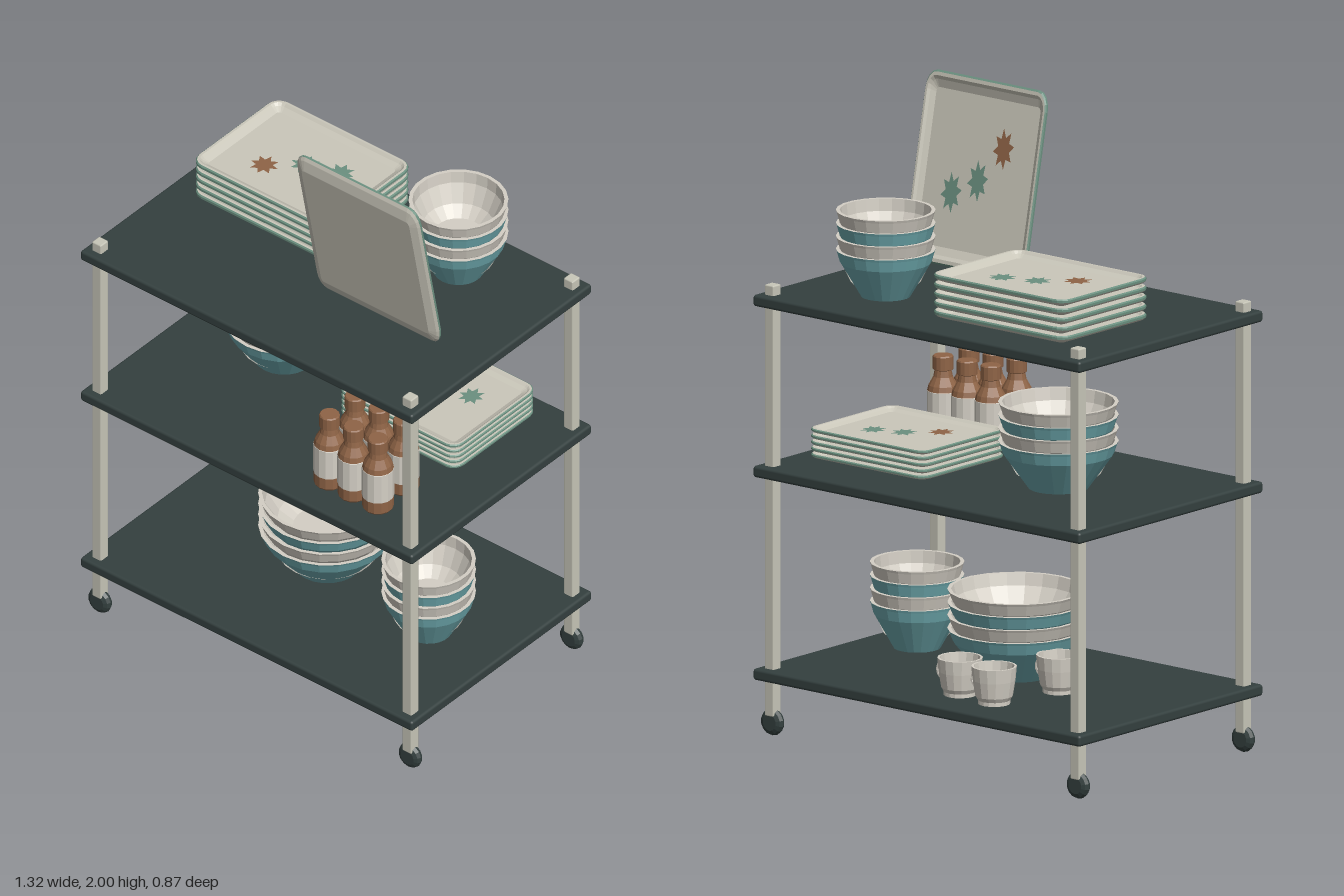
import * as THREE from 'three';
import { RoundedBoxGeometry } from 'three/addons/geometries/RoundedBoxGeometry.js';

const mat = (name, color) => Object.assign(new THREE.MeshStandardMaterial({ color }), { name });

// Faceted copy of a geometry
function flat(geo) {
  const g = geo.index ? geo.toNonIndexed() : geo;
  g.deleteAttribute('normal');
  g.computeVertexNormals();
  return g;
}

function add(parent, name, geo, material, x = 0, y = 0, z = 0) {
  const m = new THREE.Mesh(geo, material);
  m.name = name;
  m.position.set(x, y, z);
  parent.add(m);
  return m;
}

function group(parent, name, x, y, z) {
  const g = new THREE.Group();
  g.name = name;
  g.position.set(x, y, z);
  parent.add(g);
  return g;
}

const lathe = (pts, segments) =>
  flat(new THREE.LatheGeometry(pts.map(([x, y]) => new THREE.Vector2(x, y)), segments));

// Rounded rectangle rings [inset, height] joined into a skin, with optional caps
function loft(w, d, radius, sections, capStart, capEnd) {
  const steps = 4, n = 4 * (steps + 1), pos = [], idx = [];
  for (const [inset, y] of sections) {
    const r = Math.max(radius - inset, 0.012);
    for (let c = 0; c < 4; c++) {
      const sx = c === 0 || c === 3 ? 1 : -1, sz = c < 2 ? 1 : -1;
      for (let k = 0; k <= steps; k++) {
        const a = (c + k / steps) * Math.PI / 2;
        pos.push(sx * (w - inset - r) + r * Math.cos(a), y, sz * (d - inset - r) + r * Math.sin(a));
      }
    }
  }
  for (let s = 0; s < sections.length - 1; s++) {
    for (let i = 0; i < n; i++) {
      const j = (i + 1) % n, a = s * n + i, b = a + n, c = s * n + n + j, e = s * n + j;
      idx.push(a, b, c, a, c, e);
    }
  }
  const last = (sections.length - 1) * n;
  for (let i = 1; i < n - 1; i++) {
    if (capStart) idx.push(0, i, i + 1);
    if (capEnd) idx.push(last, last + i + 1, last + i);
  }
  const g = new THREE.BufferGeometry();
  g.setAttribute('position', new THREE.Float32BufferAttribute(pos, 3));
  g.setIndex(idx);
  return flat(g);
}

function starGeometry() {
  const s = new THREE.Shape(), points = 8;
  for (let i = 0; i < points * 2; i++) {
    const r = i % 2 ? 0.026 : 0.046, a = i * Math.PI / points + 0.2;
    s[i ? 'lineTo' : 'moveTo'](r * Math.cos(a), r * Math.sin(a));
  }
  return new THREE.ShapeGeometry(s).rotateX(-Math.PI / 2);
}

export function createModel() {
  const root = new THREE.Group();
  root.name = 'servingCart';
  const dark = mat('dark shelf', 0x34403f);
  const metal = mat('pale post', 0xc8c7b9);
  const cream = mat('cream ceramic', 0xd4cfc5);
  const trayCream = mat('tray enamel', 0xcac7ba);
  const teal = mat('teal glaze', 0x6fabb0);
  const brown = mat('brown', 0x8f6446);
  const green = mat('sage green', 0x6b9080);

  // Shelves
  const shelfGeo = new RoundedBoxGeometry(1.316, 0.036, 0.866, 2, 0.009);
  [0.194, 0.833, 1.372].forEach((y) => add(root, 'shelf', shelfGeo, dark, 0, y, 0));

  // Posts and wheels
  const postGeo = new RoundedBoxGeometry(0.037, 1.36, 0.037, 1, 0.005);
  const wheelGeo = lathe([[0, -0.017], [0.026, -0.017], [0.038, -0.011], [0.043, 0],
    [0.038, 0.011], [0.026, 0.017], [0, 0.017]], 14).rotateX(Math.PI / 2);
  for (const x of [-0.615, 0.615]) {
    for (const z of [-0.388, 0.388]) {
      add(root, 'post', postGeo, metal, x, 0.742, z);
      add(root, 'wheel', wheelGeo, dark, x, 0.043, z);
    }
  }

  // Trays
  const W = 0.272, D = 0.21, R = 0.045;
  const trayUnder = loft(W, D, R, [[0.034, 0], [0.008, 0.01], [0, 0.017]], true, false);
  const trayRim = loft(W, D, R, [[0, 0.017], [0, 0.024], [0.004, 0.028]], false, false);
  const trayInside = loft(W, D, R, [[0.004, 0.028], [0.012, 0.028], [0.02, 0.02], [0.038, 0.01]], false, true);
  const star = starGeometry();
  function tray(parent, y, decorated) {
    const g = group(parent, 'tray', 0, y, 0);
    add(g, 'trayUnderside', trayUnder, trayCream);
    add(g, 'trayRim', trayRim, green);
    add(g, 'trayInside', trayInside, trayCream);
    if (decorated) {
      add(g, 'brownStar', star, brown, -0.095, 0.012, 0.066);
      add(g, 'greenStar', star, green, 0, 0.012, -0.014);
      add(g, 'greenStar', star, green, 0.11, 0.012, -0.05);
    }
  }
  function trayStack(x, y, z, sx, sy, sz) {
    const g = group(root, 'trayStack', x, y, z);
    g.scale.set(sx, sy, sz);
    for (let i = 0; i < 5; i++) tray(g, i * 0.0288, i === 4);
  }
  trayStack(-0.279, 1.413, -0.175, 1, 1, 1);
  trayStack(0.282, 0.878, -0.145, 0.87, 0.69, 0.955);

  // Tray standing upright, facing the back
  const leaning = group(root, 'leaningTray', 0.285, 1.707, 0.206);
  leaning.rotation.x = -78.5 * Math.PI / 180;
  leaning.scale.set(0.895, 1, 1.4);
  tray(leaning, 0, true);

  // Stacks of four nested bowls in alternating colours
  function bowlStack(x, y, z, r) {
    const stack = group(root, 'bowlStack', x, y, z);
    const outer = lathe([[0, 0], [r * 0.5, 0], [r * 0.92, 0.108], [r * 0.98, 0.14], [r, 0.148]], 22);
    const inner = lathe([[r, 0.148], [r - 0.012, 0.148], [r * 0.9, 0.11], [r * 0.72, 0.05],
      [r * 0.5, 0.018], [0, 0.018]], 22);
    for (let i = 0; i < 4; i++) {
      add(stack, 'bowlOutside', outer, i % 2 ? cream : teal, 0, i * 0.041, 0);
      add(stack, 'bowlInside', inner, cream, 0, i * 0.041, 0);
    }
  }
  bowlStack(0.308, 1.403, -0.215, 0.153);
  bowlStack(-0.273, 0.868, -0.082, 0.185);
  bowlStack(-0.045, 0.228, -0.013, 0.212);
  bowlStack(0.41, 0.228, 0.052, 0.145);

  // Bottles
  const bottleBase = lathe([[0, 0], [0.045, 0], [0.049, 0.006], [0.049, 0.045]], 14);
  const bottleLabel = lathe([[0.049, 0.045], [0.05, 0.046], [0.05, 0.15], [0.049, 0.151]], 14);
  const bottleTop = lathe([[0.049, 0.151], [0.045, 0.168], [0.03, 0.195], [0.026, 0.215],
    [0.032, 0.218], [0.032, 0.258], [0.029, 0.262], [0, 0.262]], 14);
  for (const x of [0.23, 0.325, 0.422]) {
    for (const z of [0.188, 0.31]) {
      const b = group(root, 'bottle', x, 0.86, z);
      add(b, 'bottleBase', bottleBase, brown);
      add(b, 'bottleLabel', bottleLabel, cream);
      add(b, 'bottleTop', bottleTop, brown);
    }
  }

  // Mugs
  const mugGeo = lathe([[0, 0], [0.05, 0], [0.05, 0.012], [0.058, 0.025], [0.066, 0.075], [0.07, 0.118],
    [0.063, 0.118], [0.057, 0.06], [0.046, 0.016], [0, 0.016]], 16);
  const handleGeo = flat(new THREE.TorusGeometry(0.028, 0.006, 6, 10, Math.PI).rotateZ(-Math.PI / 2));
  for (const [x, z] of [[-0.085, -0.325], [-0.235, -0.34], [-0.29, -0.1]]) {
    const m = group(root, 'mug', x, 0.23, z);
    add(m, 'mugBody', mugGeo, cream);
    add(m, 'mugHandle', handleGeo, cream, 0.061, 0.068, 0);
  }
  return root;
}
